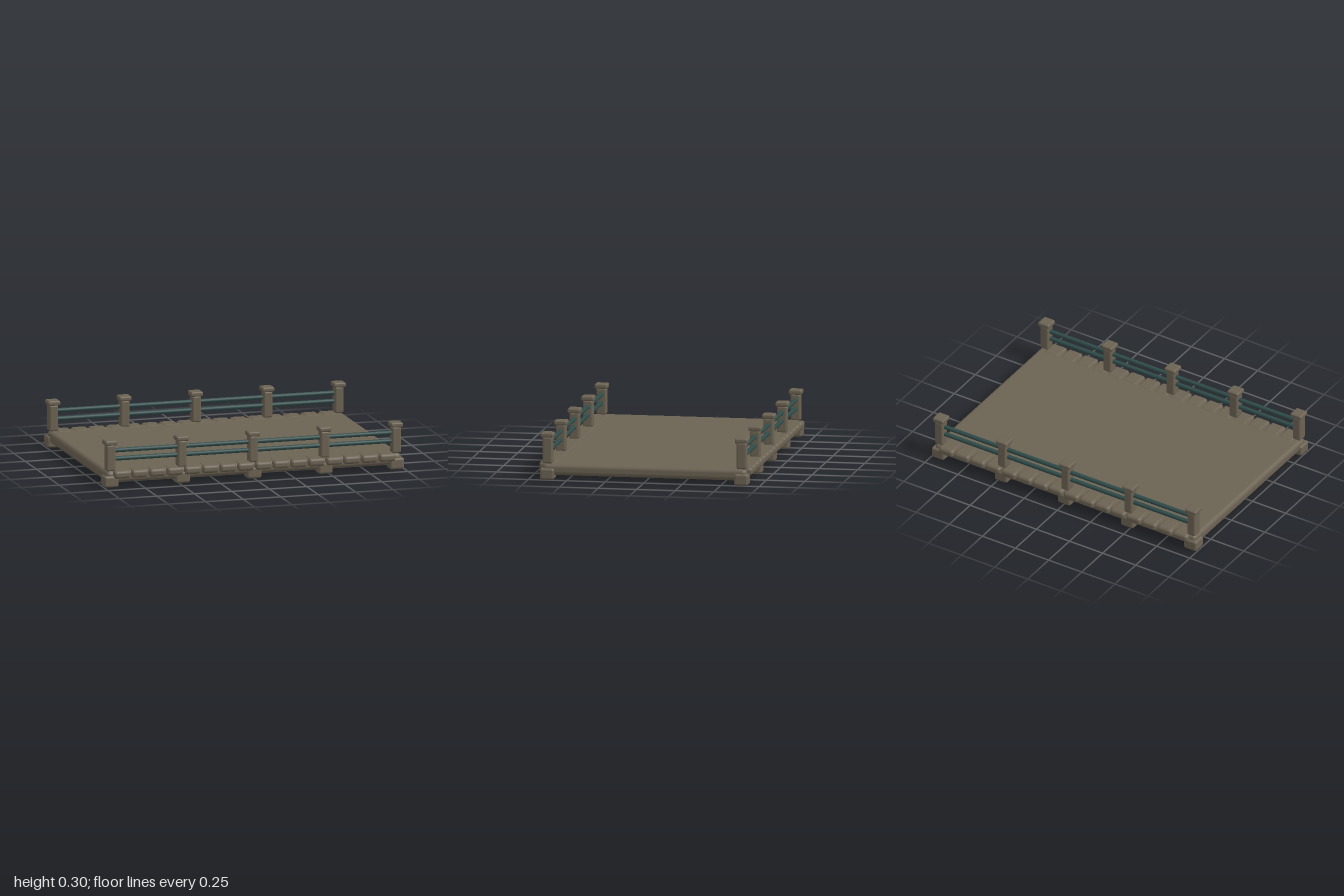
import * as THREE from 'three';
import { RoundedBoxGeometry } from 'three/addons/geometries/RoundedBoxGeometry.js';

export function createModel() {
  const model = new THREE.Group();
  model.name = 'bridgeSection';
  const stone = new THREE.MeshStandardMaterial({ name: 'stone', color: 0x6b6252 });
  const metal = new THREE.MeshStandardMaterial({ name: 'railTeal', color: 0x2f4b49 });

  // Rounded stone block spanning y0..y1, centred on x and z
  function block(name, parent, w, d, y0, y1, radius, x, z) {
    const mesh = new THREE.Mesh(new RoundedBoxGeometry(w, y1 - y0, d, 3, radius), stone);
    mesh.name = name;
    mesh.position.set(x, (y0 + y1) / 2, z);
    parent.add(mesh);
  }

  // Road slab
  block('deck', model, 1.97, 1.325, 0.028, 0.104, 0.028, 0, 0);

  const postSpacing = 0.476;
  const stoneCount = 16;
  const stonePitch = 0.1178;

  for (const side of [1, -1]) {
    const z = side * 0.63;
    const parapet = new THREE.Group();
    parapet.name = side > 0 ? 'frontParapet' : 'backParapet';
    model.add(parapet);

    // Row of edge stones
    for (let i = 0; i < stoneCount; i++) {
      const x = (i - (stoneCount - 1) / 2) * stonePitch;
      block('edgeStone', parapet, 0.11, 0.124, 0.056, 0.108, 0.02, x, z);
    }

    // Feet, posts and caps
    for (let i = -2; i <= 2; i++) {
      const x = i * postSpacing;
      block('foot', parapet, 0.096, 0.092, 0, 0.074, 0.015, x, z);
      block('post', parapet, 0.06, 0.066, 0.104, 0.275, 0.012, x, z);
      block('postCap', parapet, 0.082, 0.084, 0.272, 0.304, 0.011, x, z);
    }

    // Two long round rails
    for (const y of [0.18, 0.234]) {
      const rail = new THREE.Mesh(new THREE.CylinderGeometry(0.0145, 0.0145, 1.9, 12), metal);
      rail.name = 'rail';
      rail.rotation.z = Math.PI / 2;
      rail.position.set(0, y, z);
      parapet.add(rail);
    }
  }
  return model;
}
